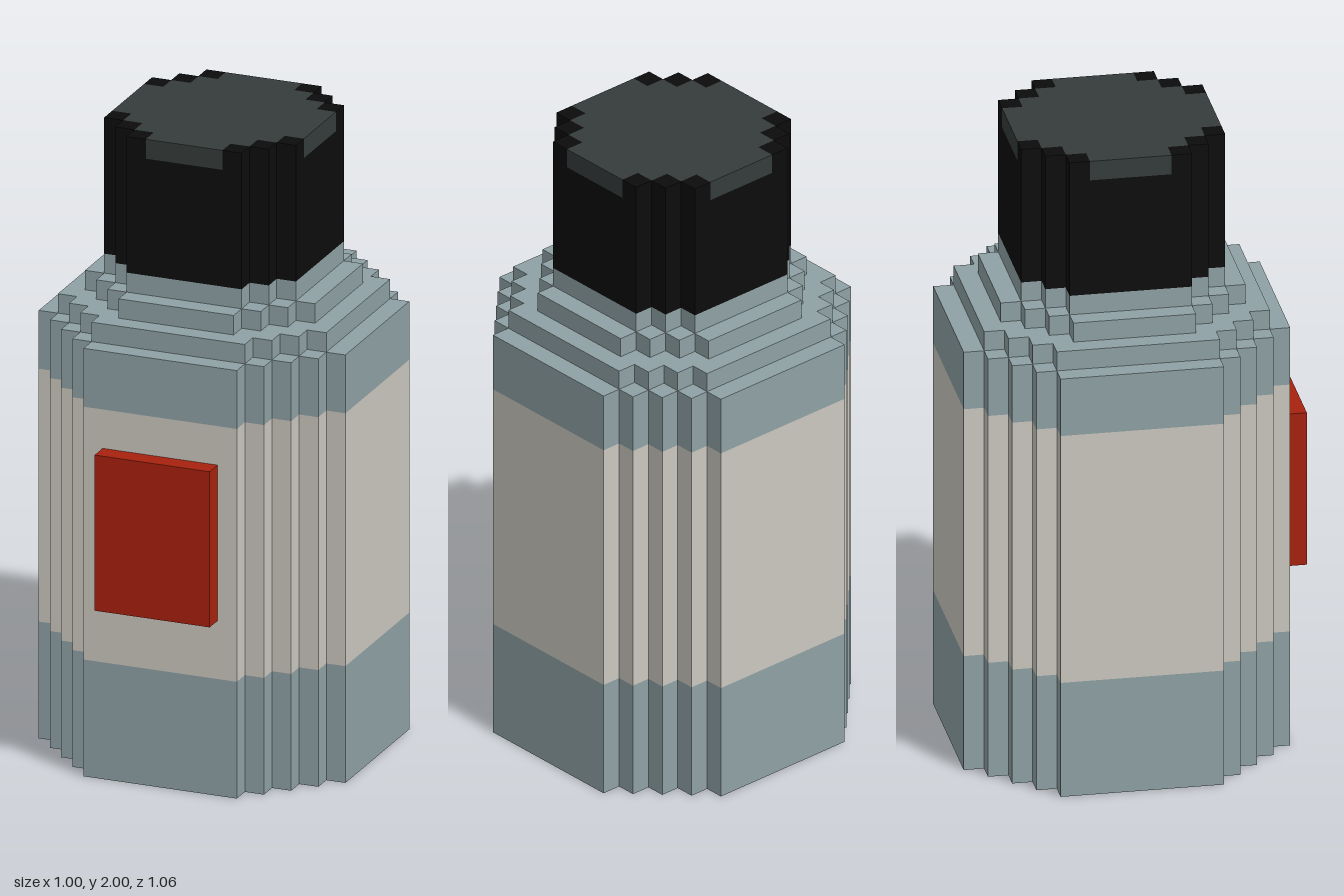
import * as THREE from 'three';

const U = 1 / 16; // one block
const CZ = -U / 2; // centre of the round body in z

function mat(name, color) {
  const m = new THREE.MeshStandardMaterial({ color });
  m.name = name;
  return m;
}

// Stepped "round" outline: flat is the half length of each straight side,
// radius the half width; the corners climb in single-block stairs.
function steppedShape(flat, radius) {
  const quarter = [];
  for (let x = flat, z = radius; z >= flat; x++, z--) {
    quarter.push([x, z]);
    if (z > flat) quarter.push([x, z - 1]);
  }
  const back = [...quarter].reverse();
  const outline = [
    ...quarter,
    ...back.map(([x, z]) => [x, -z]),
    ...quarter.map(([x, z]) => [-x, -z]),
    ...back.map(([x, z]) => [-x, z]),
  ];
  return new THREE.Shape(outline.map(([x, z]) => new THREE.Vector2(x * U, z * U)));
}

export function createModel() {
  const group = new THREE.Group();
  const glass = mat('blue grey glass', 0x8fa1a5);
  const paper = mat('cream paper', 0xcbc8bf);
  const black = mat('black cap', 0x0c0c0c);
  const charcoal = mat('charcoal cap top', 0x353c3b);
  const red = mat('red label', 0xa8210e);

  function add(name, geometry, material) {
    const mesh = new THREE.Mesh(geometry, material);
    mesh.name = name;
    group.add(mesh);
    return mesh;
  }

  // Upright stepped slab between two heights, in blocks
  function slab(name, flat, radius, y0, y1, material) {
    const g = new THREE.ExtrudeGeometry(steppedShape(flat, radius), { depth: (y1 - y0) * U, bevelEnabled: false });
    g.rotateX(-Math.PI / 2);
    g.translate(0, y0 * U, CZ);
    add(name, g, material);
  }

  // Bottle body with its paper band
  slab('lowerBody', 4, 8, 0, 6, glass);
  slab('paperBand', 4, 8, 6, 19, paper);
  slab('upperBody', 4, 8, 19, 22, glass);

  // Stepped shoulder and neck
  slab('lowerShoulder', 4, 7, 22, 23, glass);
  slab('upperShoulder', 3, 6, 23, 24, glass);
  slab('neck', 3, 5, 24, 25, glass);

  // Cap with an inlaid top, flush with black corner blocks
  slab('cap', 3, 5, 25, 31, black);
  slab('capTop', 2, 5, 31, 32, charcoal);
  for (const sx of [-1, 1]) {
    for (const sz of [-1, 1]) {
      for (const [x, z] of [[2.5, 4.5], [3.5, 3.5], [4.5, 2.5]]) {
        add('capCorner', new THREE.BoxGeometry(U, U, U), black)
          .position.set(sx * x * U, 31.5 * U, sz * z * U + CZ);
      }
    }
  }

  // Raised label on the front
  add('frontLabel', new THREE.BoxGeometry(6 * U, 8 * U, U), red).position.set(0, 13 * U, 8.5 * U + CZ);

  return group;
}
